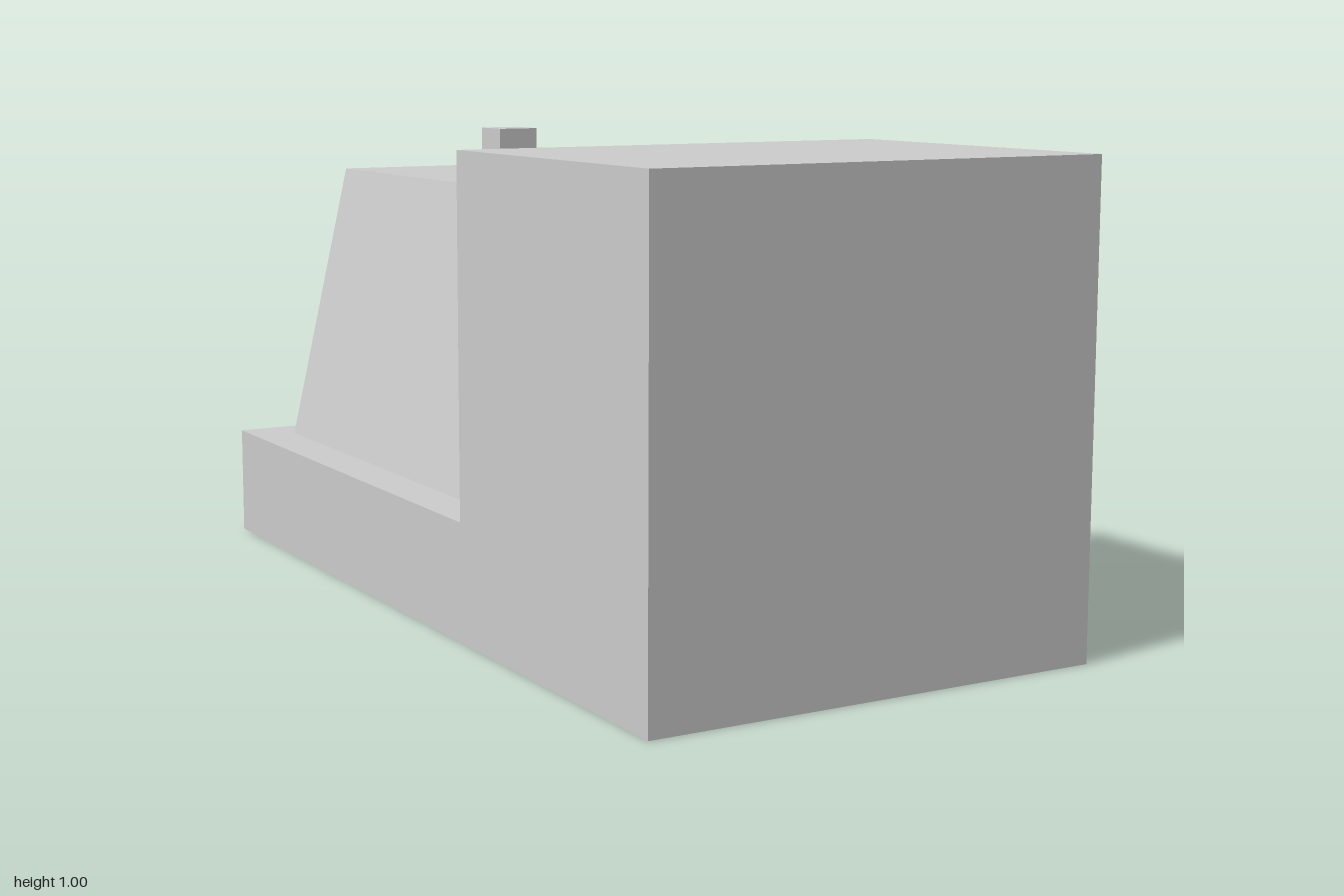
import * as THREE from 'three';

// Extrude a closed outline given as [x, y] points
function extrude(points, depth) {
  const shape = new THREE.Shape(points.map(([x, y]) => new THREE.Vector2(x, y)));
  return new THREE.ExtrudeGeometry(shape, { depth, bevelEnabled: false });
}

export function createModel() {
  const group = new THREE.Group();
  const grey = new THREE.MeshStandardMaterial({ color: 0xcccccc });
  grey.name = 'light grey';

  const add = (name, geometry) => {
    const mesh = new THREE.Mesh(geometry, grey);
    mesh.name = name;
    group.add(mesh);
  };

  // Tall front block and low rear bed as one L-shaped side profile (z, y)
  const body = extrude([[-1, 0], [1, 0], [1, 1], [0.25, 1], [0.25, 0.25], [-1, 0.25]], 1);
  body.rotateY(-Math.PI / 2).translate(0.5, 0, 0);
  add('body', body);

  // Tapered housing on the rear bed
  const housing = extrude([[-0.4, 0.25], [0.4, 0.25], [0.25, 0.9], [-0.25, 0.9]], 1.15);
  housing.translate(0, 0, -0.9);
  add('housing', housing);

  // Small off-centre block on top of the housing
  add('topBlock', new THREE.BoxGeometry(0.1, 0.1, 0.1).translate(0.1, 0.95, -0.7));

  return group;
}
